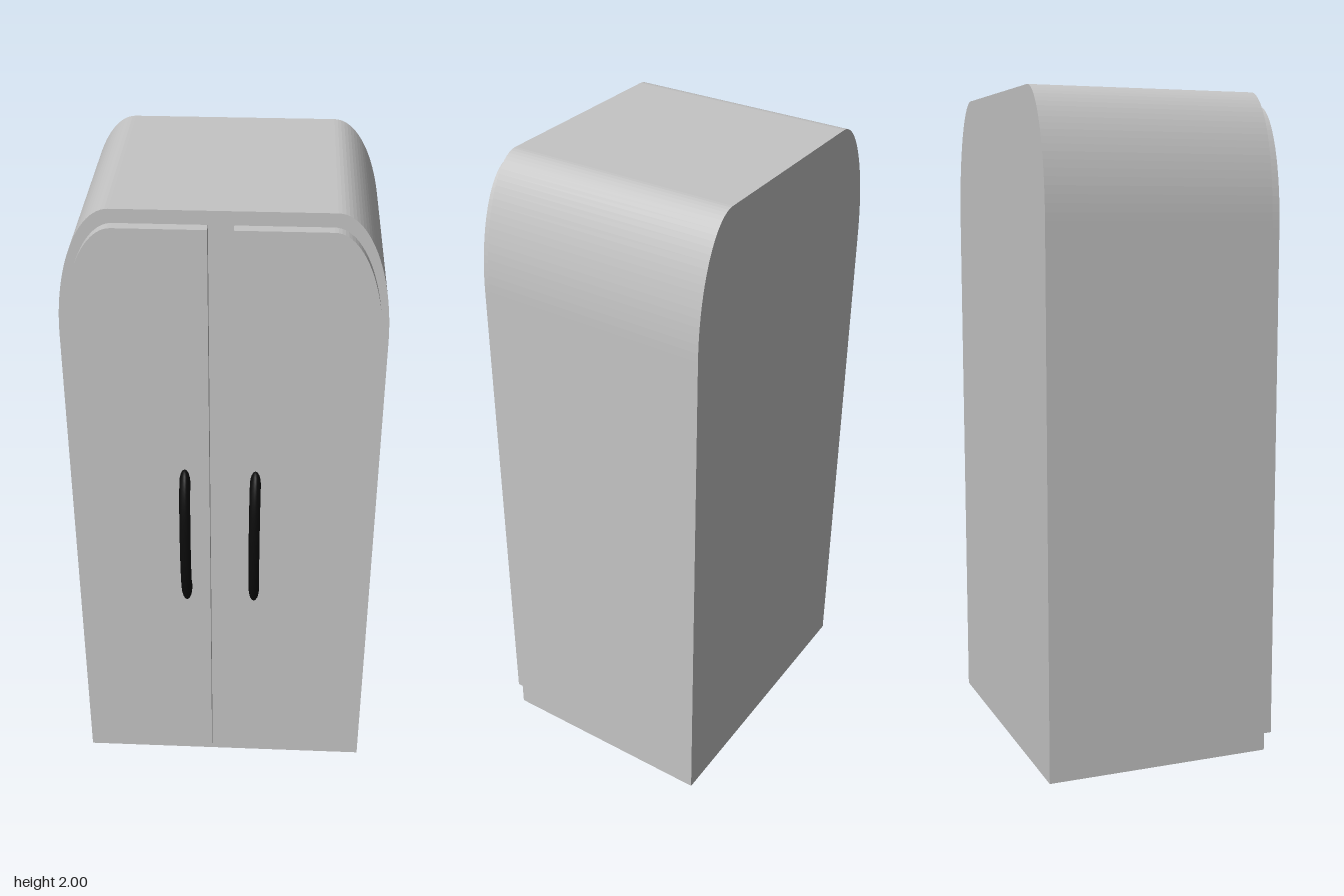
import * as THREE from 'three';

const BACK = -0.407, FRONT = 0.29, DOOR_FRONT = 0.323;

export function createModel() {
  const shell = new THREE.MeshStandardMaterial({ color: 0xc4c4c4 });
  shell.name = 'light grey';
  const black = new THREE.MeshStandardMaterial({ color: 0x0b0b0b });
  black.name = 'black';

  const model = new THREE.Group();
  model.name = 'cabinet';
  const add = (name, geometry, material) => {
    const mesh = new THREE.Mesh(geometry, material);
    mesh.name = name;
    model.add(mesh);
    return mesh;
  };
  const extrude = (shape, z0, z1) =>
    new THREE.ExtrudeGeometry(shape, { depth: z1 - z0, bevelEnabled: false, curveSegments: 12 })
      .translate(0, 0, z0);

  // Body with tall elliptical shoulders
  const body = new THREE.Shape();
  body.moveTo(-0.458, 0);
  body.lineTo(0.458, 0);
  body.lineTo(0.458, 1.62);
  body.absellipse(0.303, 1.62, 0.155, 0.38, 0, Math.PI / 2);
  body.lineTo(-0.303, 2);
  body.absellipse(-0.303, 1.62, 0.155, 0.38, Math.PI / 2, Math.PI);
  body.closePath();
  add('body', extrude(body, BACK, FRONT), shell);

  // Raised door following one shoulder; side is +1 or -1
  const doorShape = (side, inner) => {
    const s = new THREE.Shape();
    s.moveTo(side * inner, 0.045);
    s.lineTo(side * 0.44, 0.045);
    s.lineTo(side * 0.44, 1.6);
    s.absellipse(side * 0.295, 1.6, 0.145, 0.36, side > 0 ? 0 : Math.PI, Math.PI / 2, side < 0);
    s.lineTo(side * inner, 1.96);
    s.closePath();
    return s;
  };
  add('leftDoor', extrude(doorShape(1, 0.03), FRONT, DOOR_FRONT), shell);
  add('rightDoor', extrude(doorShape(-1, 0.04), FRONT, DOOR_FRONT), shell);

  // Bowed handles: flattened half rings
  const handle = new THREE.TorusGeometry(1, 0.24, 16, 32, Math.PI)
    .rotateZ(Math.PI / 2)
    .rotateY(Math.PI / 2)
    .scale(0.068, 0.198, 0.066);
  add('leftHandle', handle, black).position.set(0.096, 0.95, 0.318);
  const right = add('rightHandle', handle, black);
  right.position.set(-0.113, 0.95, 0.321);
  right.rotation.y = 0.035;

  return model;
}
